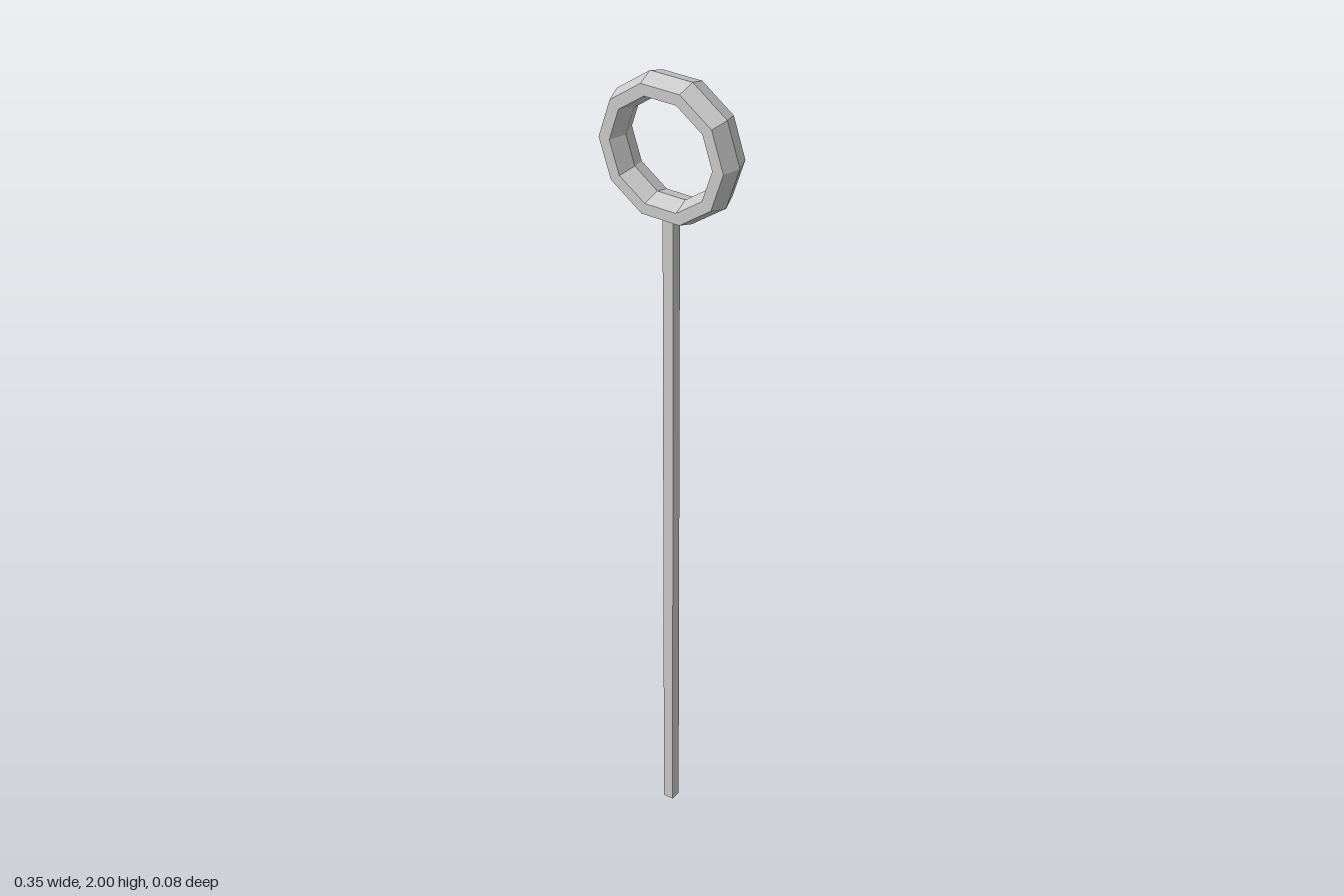
import * as THREE from 'three';

export function createModel() {
  const model = new THREE.Group();
  const material = new THREE.MeshStandardMaterial({ color: 0xcccccc, flatShading: true });

  // Ten-sided ring with a hexagonal section, stretched along z
  const tube = 0.028;
  const ringGeometry = new THREE.TorusGeometry(0.146, tube, 6, 10);
  ringGeometry.scale(1, 1, 0.0485 / tube);
  const ring = new THREE.Mesh(ringGeometry, material);
  ring.name = 'ring';
  ring.position.y = 2 - 0.174 * Math.sin(Math.PI * 0.4);
  model.add(ring);

  // Square stick, its top end sunk slightly into the ring
  const height = 1.68;
  const stick = new THREE.Mesh(new THREE.BoxGeometry(0.027, height, 0.027), material);
  stick.name = 'stick';
  stick.position.y = height / 2;
  model.add(stick);

  return model;
}
